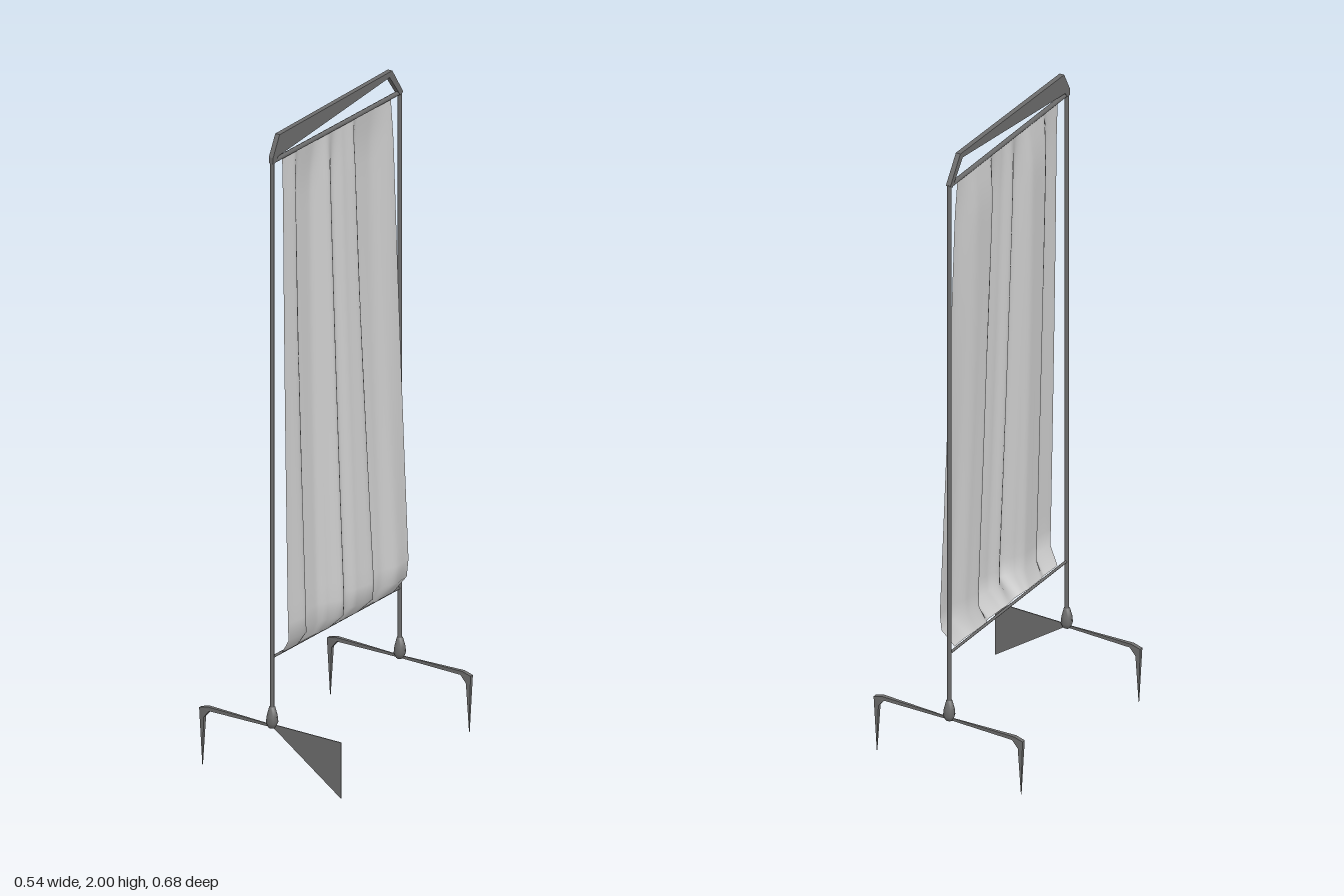
import * as THREE from 'three';

const steel = new THREE.MeshStandardMaterial({ color: 0x6c6c6c, side: THREE.DoubleSide });
steel.name = 'steel grey';
const cloth = new THREE.MeshStandardMaterial({ color: 0xcccccc, side: THREE.DoubleSide });
cloth.name = 'light cloth';

const HALF = 0.316; // half the distance between the posts

function add(parent, name, geometry, material, x = 0, y = 0, z = 0) {
  const mesh = new THREE.Mesh(geometry, material);
  mesh.name = name;
  mesh.position.set(x, y, z);
  parent.add(mesh);
  return mesh;
}

// Flat outline with a centred thickness
function slab(points, depth) {
  const shape = new THREE.Shape(points.map(([x, y]) => new THREE.Vector2(x, y)));
  const g = new THREE.ExtrudeGeometry(shape, { depth, bevelEnabled: false });
  return g.translate(0, 0, -depth / 2);
}

// Piecewise linear lookup in [position, value] pairs, eased to stay smooth
function sample(table, s) {
  for (let i = 1; i < table.length; i++) {
    const [a, va] = table[i - 1], [b, vb] = table[i];
    if (s <= b) return THREE.MathUtils.lerp(va, vb, THREE.MathUtils.smoothstep(s, a, b));
  }
  return table[table.length - 1][1];
}

// Fold depth across the cloth: near the rail and near the hem
const upperFolds = [[-0.3, 0.008], [-0.2, -0.018], [-0.12, -0.018], [-0.08, 0.012], [-0.03, 0.004],
  [0.01, -0.012], [0.06, 0.012], [0.12, -0.019], [0.2, -0.016], [0.24, 0.008], [0.3, 0.004]];
const lowerFolds = [[-0.3, 0.044], [-0.24, 0.05], [-0.18, 0.028], [-0.125, 0.022], [-0.1, 0.064], [-0.03, 0.052],
  [0.005, 0.036], [0.06, 0.067], [0.1, 0.042], [0.13, 0.026], [0.2, 0.028], [0.22, 0.05], [0.3, 0.043]];

function curtainGeometry() {
  const g = new THREE.PlaneGeometry(1, 1, 72, 28);
  const p = g.attributes.position;
  for (let i = 0; i < p.count; i++) {
    const u = -2 * p.getX(i);          // -1 .. 1 along the rail
    const t = 0.5 - p.getY(i);         // 0 at the rail, 1 at the hem
    const drop = Math.min(t / 0.95, 1);
    const tuck = THREE.MathUtils.clamp((t - 0.95) / 0.05, 0, 1);
    const y = THREE.MathUtils.lerp(1.915, 0.46, drop) - 0.07 * tuck;
    const z = u * (0.268 + 0.03 * drop - 0.022 * tuck);
    const s = u * 0.3;
    let x = THREE.MathUtils.lerp(sample(upperFolds, s), sample(lowerFolds, s), drop ** 1.2);
    x *= THREE.MathUtils.smoothstep(t, -0.05, 0.1); // gathered close to the rail
    x *= 1 - 0.85 * tuck * tuck;                    // drawn in to the lower bar
    p.setXYZ(i, x, y, z);
  }
  g.computeVertexNormals();
  return g;
}

// Slender arm that widens outwards and ends in a pointed leg
function armGeometry() {
  const g = slab([[0, 0.172], [0.215, 0.172], [0.234, 0.15], [0.242, 0], [0.25, 0.176],
    [0.222, 0.184], [0, 0.18]], 0.012);
  const p = g.attributes.position;
  for (let i = 0; i < p.count; i++) {
    const k = p.getX(i) < 0.1 ? 0.2 : p.getY(i) < 0.1 ? 0.3 : 1;
    p.setZ(i, p.getZ(i) * k);
  }
  g.computeVertexNormals();
  return g;
}

export function createModel() {
  const model = new THREE.Group();
  model.name = 'foldingScreen';
  const screen = new THREE.Group();
  screen.name = 'screen';
  screen.rotation.y = 0.081; // the panel stands slightly askew
  model.add(screen);

  // Posts with bulbous sockets
  const hub = new THREE.LatheGeometry(
    [[0, 0.17], [0.011, 0.172], [0.018, 0.188], [0.016, 0.208], [0.009, 0.235], [0, 0.237]]
      .map(([r, y]) => new THREE.Vector2(r, y)), 8);
  for (const side of [1, -1]) {
    const end = side > 0 ? 'front' : 'back';
    add(screen, end + 'Post', new THREE.CylinderGeometry(0.0065, 0.0065, 1.72, 8), steel, 0, 1.06, side * HALF);
    add(screen, end + 'Socket', hub, steel, 0, 0, side * HALF);
  }

  // Feet: three pointed arms and one triangular plate
  const arm = armGeometry();
  for (const [name, z, turn] of [['frontRightArm', HALF, Math.PI], ['backRightArm', -HALF, Math.PI],
    ['backLeftArm', -HALF, 0]]) {
    add(screen, name, arm, steel, 0, 0, z).rotation.y = turn;
  }
  add(screen, 'frontLeftFootPlate', slab([[0, 0.182], [0.008, 0.17], [0.24, 0.01], [0.24, 0.182]], 0.003),
    steel, 0, 0, HALF);

  // Curtain rail and lower bar
  for (const [name, y, r] of [['curtainRail', 1.916, 0.007], ['lowerBar', 0.388, 0.004]]) {
    add(screen, name, new THREE.CylinderGeometry(r, r, 2 * HALF, 8), steel, 0, y, 0).rotation.x = Math.PI / 2;
  }

  // Tapering head of the frame with sloped ends
  const head = slab([[-0.322, 1.912], [-0.308, 1.912], [-0.296, 1.928], [0.255, 1.983], [0.309, 1.91],
    [0.322, 1.918], [0.268, 2.0], [-0.29, 1.992], [-0.322, 1.93]], 0.015);
  add(screen, 'frameHead', head, steel).rotation.y = Math.PI / 2;

  // Cloth
  add(screen, 'curtain', curtainGeometry(), cloth);
  return model;
}
